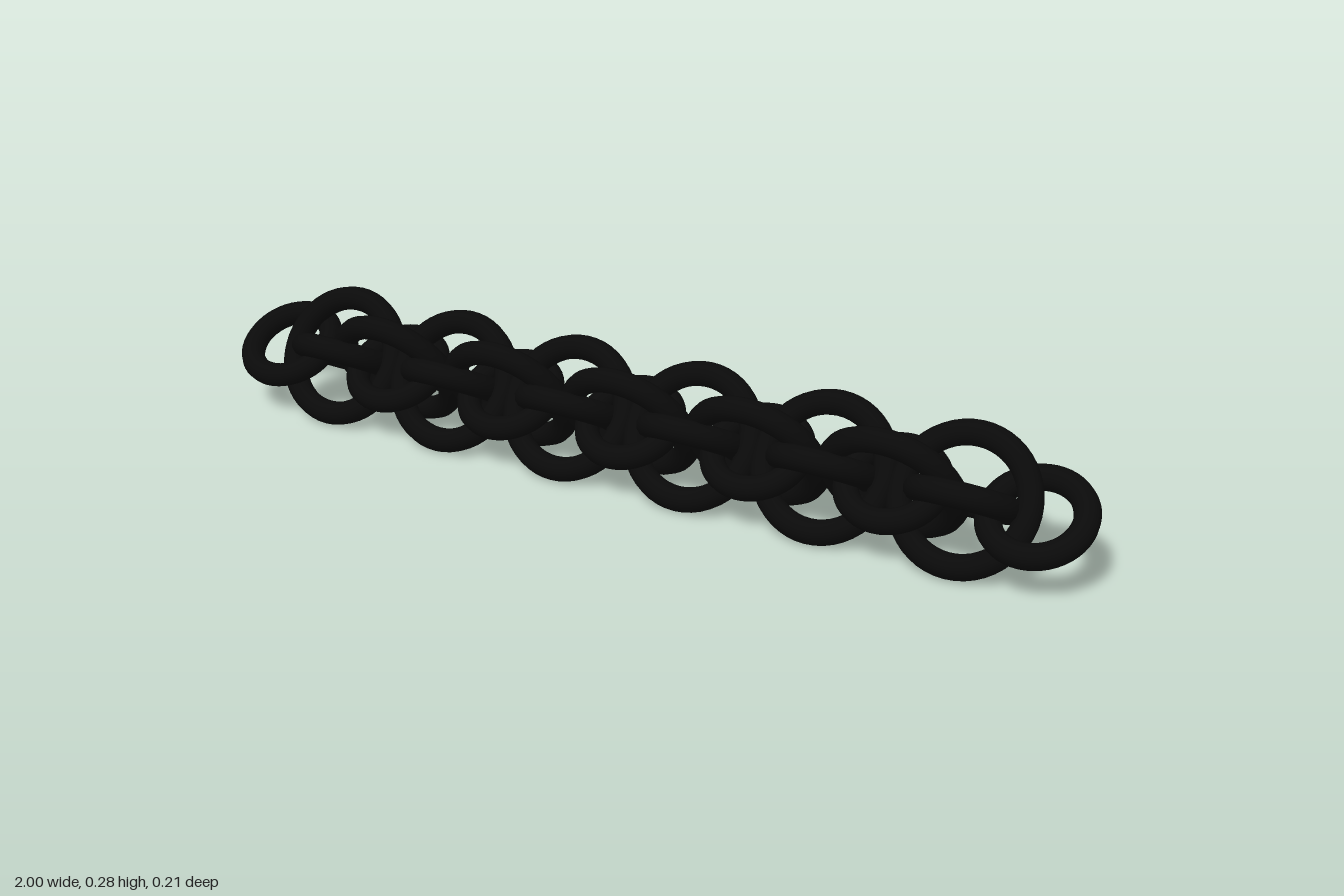
import * as THREE from 'three';

const WIRE = 0.026;      // wire radius
const BIG = 0.13;        // centre-line radius of the steep rings
const SMALL = 0.0925;    // centre-line radius of the shallow rings
const PITCH = 0.1469;    // distance between ring centres
const HALF = 6;          // ring positions on each side of the middle

export function createModel() {
  const model = new THREE.Group();
  model.name = 'chain';
  const material = new THREE.MeshStandardMaterial({ color: 0x0a0a0a });
  const bigRing = new THREE.TorusGeometry(BIG, WIRE, 12, 48);
  const smallRing = new THREE.TorusGeometry(SMALL, WIRE, 12, 48);
  const centreY = BIG * Math.cos(Math.PI / 6) + WIRE;

  function addRing(name, geometry, x, tilt) {
    const ring = new THREE.Mesh(geometry, material);
    ring.name = name;
    ring.position.set(x, centreY, 0);
    ring.rotation.x = THREE.MathUtils.degToRad(tilt);
    model.add(ring);
  }

  // Both ring sizes tilt alternately; the two at one position are square to each other
  for (let i = -HALF; i <= HALF; i++) {
    const side = i % 2 === 0 ? 1 : -1;
    addRing('smallRing', smallRing, i * PITCH, -60 * side);
    // The two end positions hold only a small ring
    if (Math.abs(i) < HALF) addRing('bigRing', bigRing, i * PITCH, 30 * side);
  }
  return model;
}
